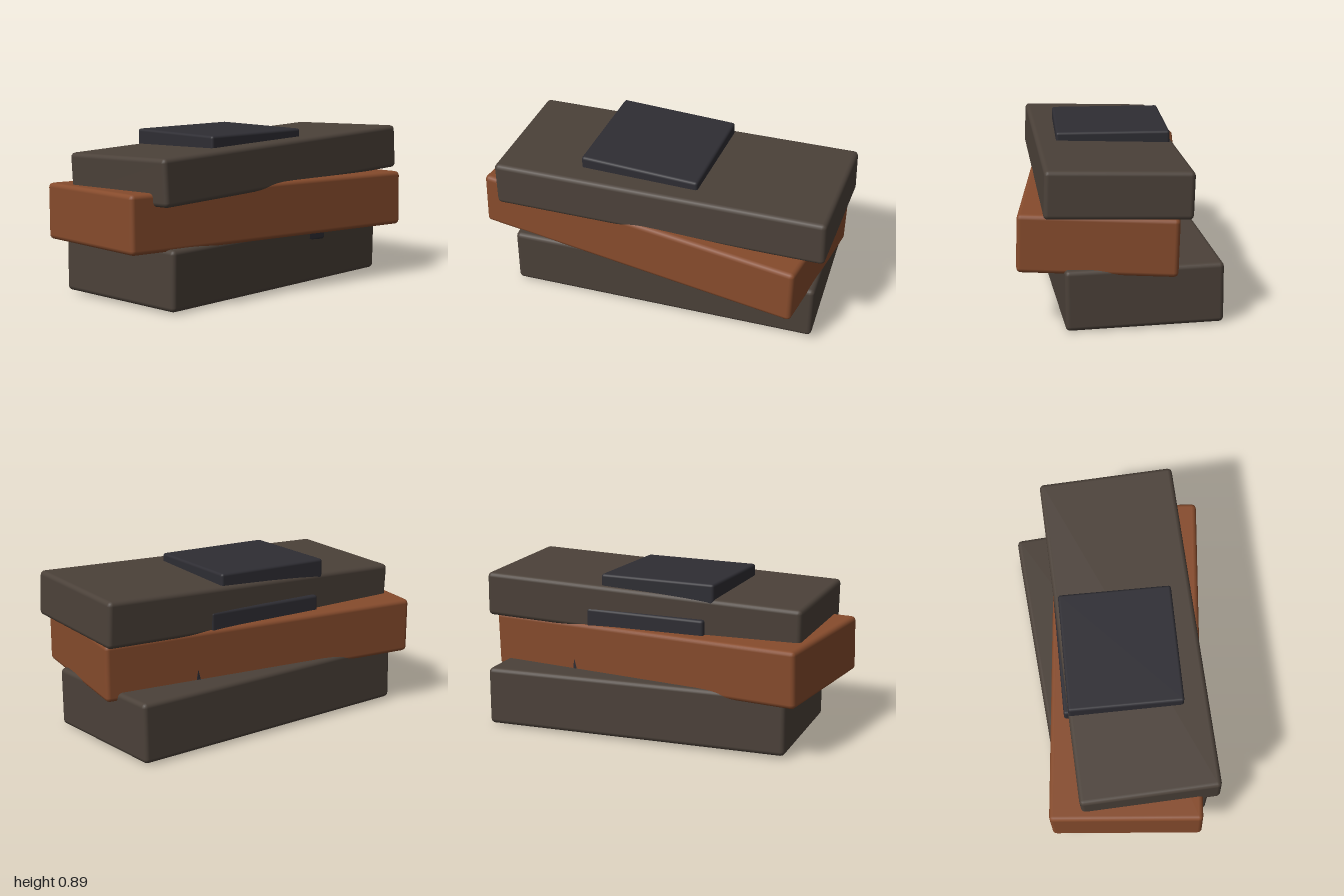
import * as THREE from 'three';
import { RoundedBoxGeometry } from 'three/addons/geometries/RoundedBoxGeometry.js';

const brown = new THREE.MeshStandardMaterial({ color: 0x4b4139 });
const rust = new THREE.MeshStandardMaterial({ color: 0x864b2c });
const dark = new THREE.MeshStandardMaterial({ color: 0x2e2d33 });

// Softly bevelled block: size, centre, tilt (radians)
function block(name, material, size, centre, tilt = [0, 0, 0], radius = 0.025) {
  const mesh = new THREE.Mesh(new RoundedBoxGeometry(...size, 2, radius), material);
  mesh.name = name;
  mesh.position.set(...centre);
  mesh.rotation.set(...tilt);
  return mesh;
}

export function createModel() {
  const model = new THREE.Group();
  model.name = 'stackedBlocks';

  // Three loosely stacked, slightly twisted blocks
  model.add(
    block('bottomBlock', brown, [1.73, 0.325, 0.825], [0.04, 0.17, -0.058], [0.01, 0.078, -0.006]),
    block('middleBlock', rust, [1.885, 0.31, 0.825], [-0.025, 0.457, 0.03], [-0.025, -0.096, -0.013]),
    block('topBlock', brown, [1.865, 0.25, 0.755], [0.05, 0.702, 0.046], [-0.033, 0.034, 0.03])
  );

  // Dark slabs bedded level in the joints and in the top
  model.add(
    block('lowerSlab', dark, [0.7, 0.16, 0.675], [0.09, 0.32, -0.002], undefined, 0.015),
    block('upperSlab', dark, [0.7, 0.16, 0.68], [-0.01, 0.61, -0.005], undefined, 0.015),
    block('topSlab', dark, [0.67, 0.16, 0.62], [-0.075, 0.806, -0.008], undefined, 0.015)
  );
  return model;
}
